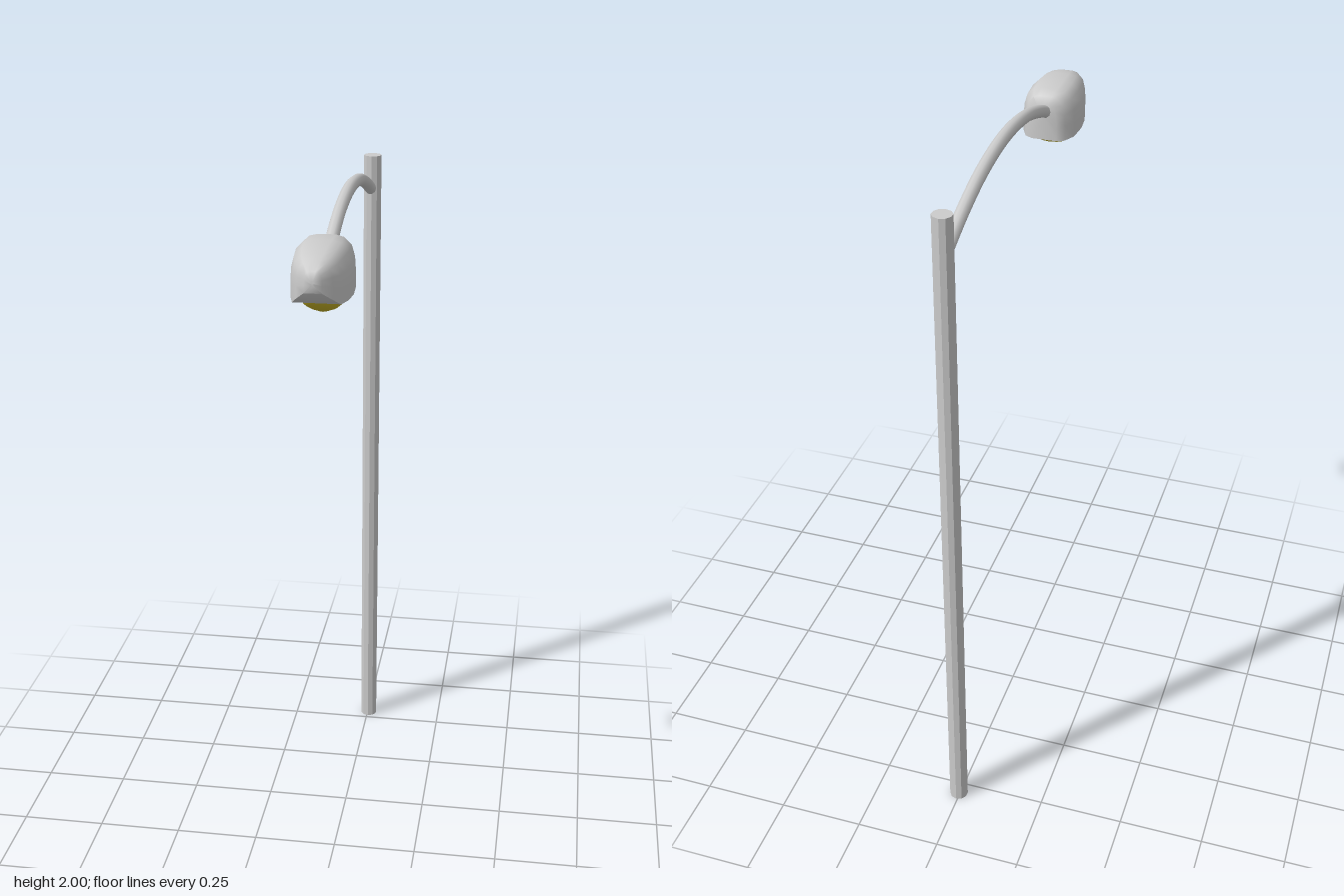
import * as THREE from 'three';
import { toCreasedNormals } from 'three/addons/utils/BufferGeometryUtils.js';

// Skin closed rings of equal length, with a fan cap at each end
function loft(rings, crease) {
  const n = rings[0].length;
  const pos = [], index = [];
  rings.flat().forEach(p => pos.push(...p));
  for (let i = 0; i < rings.length - 1; i++) {
    for (let j = 0; j < n; j++) {
      const k = (j + 1) % n;
      const a = i * n + j, b = i * n + k, c = a + n, d = b + n;
      index.push(a, b, d, a, d, c);
    }
  }
  [0, rings.length - 1].forEach((r, end) => {
    const centre = pos.length / 3;
    for (let axis = 0; axis < 3; axis++) {
      pos.push(rings[r].reduce((sum, p) => sum + p[axis], 0) / n);
    }
    for (let j = 0; j < n; j++) {
      const a = r * n + j, b = r * n + (j + 1) % n;
      index.push(centre, end ? a : b, end ? b : a);
    }
  });
  const geo = new THREE.BufferGeometry();
  geo.setAttribute('position', new THREE.Float32BufferAttribute(pos, 3));
  geo.setIndex(index);
  return toCreasedNormals(geo, crease);
}

export function createModel() {
  const group = new THREE.Group();
  const grey = new THREE.MeshStandardMaterial({ color: 0xcccccc });
  const flatGrey = new THREE.MeshStandardMaterial({ color: 0xcccccc, flatShading: true });
  const yellow = new THREE.MeshStandardMaterial({ color: 0xc8b428 });

  const add = (name, geo, material) => {
    const mesh = new THREE.Mesh(geo, material);
    mesh.name = name;
    group.add(mesh);
    return mesh;
  };

  // Faceted upright pole
  add('pole', new THREE.CylinderGeometry(0.027, 0.027, 1.98, 10), flatGrey)
    .position.set(0.004, 0.99, -0.538);

  // Arched arm from the pole into the back of the lamp
  const path = new THREE.CatmullRomCurve3([
    [-0.53, 1.878], [-0.4, 1.927], [-0.25, 1.966], [-0.07, 1.982],
    [0.1, 1.965], [0.22, 1.932], [0.32, 1.892],
  ].map(([z, y]) => new THREE.Vector3(0, y, z)));
  add('arm', new THREE.TubeGeometry(path, 32, 0.018, 10), grey);

  // Lamp housing: flat-bottomed domed sections from back to rounded nose
  const half = [[1, 0], [1, 0.35], [0.97, 0.6], [0.86, 0.82], [0.6, 0.96], [0.3, 1]];
  const outline = [...half, [0, 1], ...half.slice().reverse().map(([u, v]) => [-u, v])];
  const sections = [ // z, half width, bottom, top
    [0.288, 0.036, 1.82, 1.925],
    [0.3, 0.058, 1.82, 1.945],
    [0.335, 0.075, 1.82, 1.955],
    [0.4, 0.079, 1.82, 1.957],
    [0.455, 0.073, 1.82, 1.955],
    [0.5, 0.062, 1.823, 1.947],
    [0.53, 0.046, 1.842, 1.936],
    [0.553, 0.023, 1.863, 1.918],
    [0.563, 0.004, 1.885, 1.895],
  ];
  const housing = sections.map(([z, w, lo, hi]) =>
    outline.map(([u, v]) => [u * w, lo + v * (hi - lo), z]));
  add('lampHousing', loft(housing, 0.9), grey);

  // Shallow lens bulging from the underside, narrower toward the nose
  const layers = [ // y, half width, half length
    [1.828, 0.063, 0.104],
    [1.815, 0.062, 0.096],
    [1.795, 0.052, 0.062],
    [1.782, 0.036, 0.032],
    [1.773, 0.012, 0.01],
  ];
  const sides = 16;
  const lens = layers.map(([y, w, l]) => Array.from({ length: sides }, (_, j) => {
    const a = j / sides * Math.PI * 2;
    const taper = 1 - 0.12 * Math.sin(a);
    return [Math.cos(a) * w * taper, y, 0.397 + Math.sin(a) * l];
  }));
  add('lens', loft(lens, 0.8), yellow);

  return group;
}
